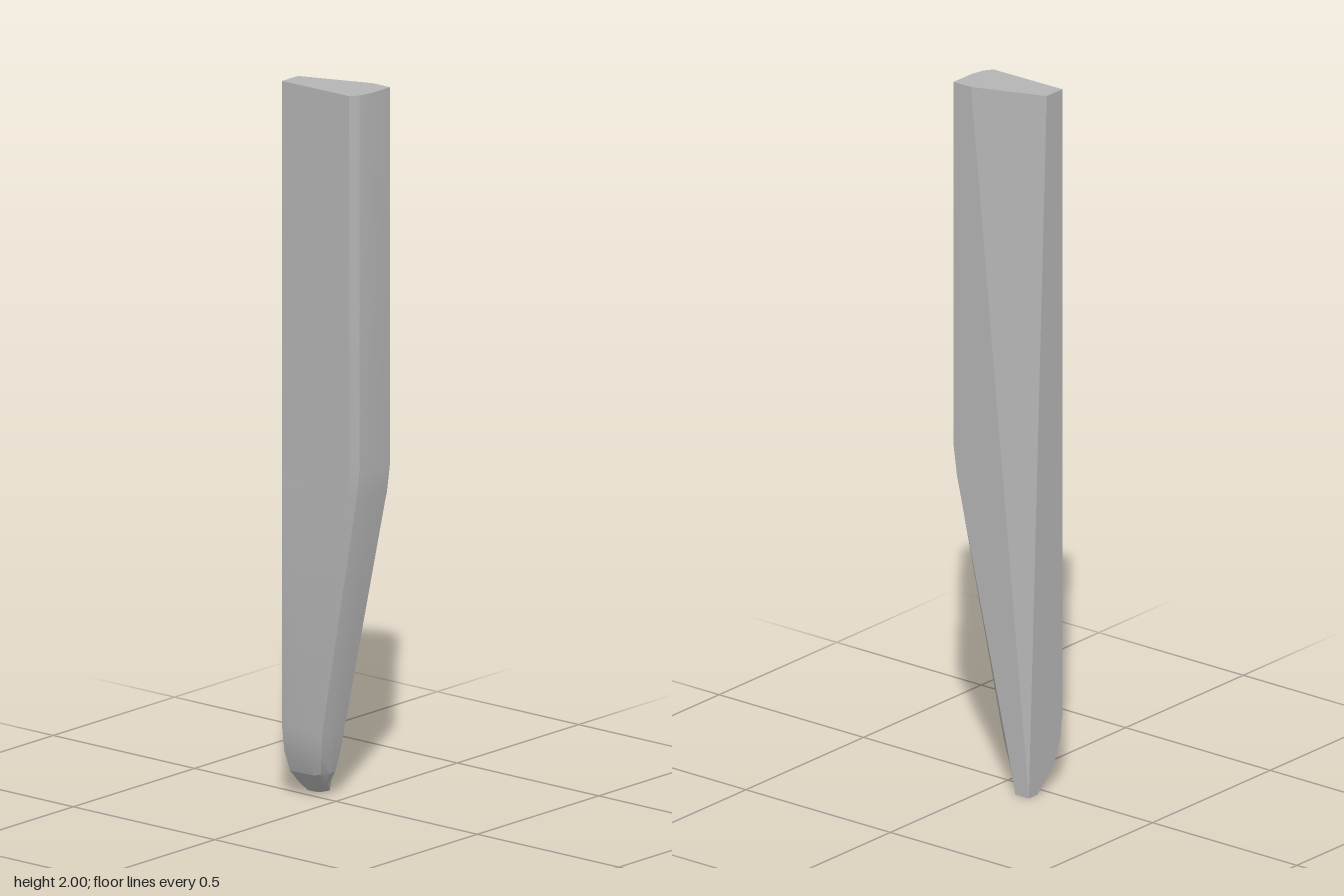
import * as THREE from 'three';
import { toCreasedNormals } from 'three/addons/utils/BufferGeometryUtils.js';

const BACK = -0.13, SIDE = 0.071;

// One level of the post: y, back-left x, then the x,z of the four front corners, then z of the side edge
const levels = [
  [2.00, -0.071, -0.068, 0.105, -0.045, 0.121, -0.005, 0.13, 0.071, 0.13, 0.13],
  [0.95, -0.071, -0.068, 0.105, -0.045, 0.121, -0.005, 0.13, 0.071, 0.13, 0.13],
  [0.87, -0.071, -0.068, 0.094, -0.045, 0.111, -0.005, 0.12, 0.069, 0.12, 0.119],
  [0.20, -0.071, -0.068, -0.027, -0.047, -0.008, -0.012, 0.0, 0.040, -0.003, -0.038],
  [0.13, -0.061, -0.057, -0.036, -0.036, -0.021, 0.0, -0.013, 0.037, -0.016, -0.055],
  [0.07, -0.038, -0.034, -0.052, -0.018, -0.038, 0.008, -0.030, 0.034, -0.032, -0.068],
  [0.03, 0.0, 0.002, -0.075, 0.010, -0.064, 0.022, -0.057, 0.034, -0.058, -0.078],
  [0.00, 0.035, 0.036, -0.105, 0.039, -0.095, 0.043, -0.09, 0.050, -0.088, -0.083],
];

// Cross-section running anticlockwise seen from above; the back corner is cut away towards the top
function section([y, backX, bx, bz, cx, cz, dx, dz, ex, ez, fz]) {
  const t = y / 2;
  return [
    [backX, BACK], [bx, bz], [cx, cz], [dx, dz], [ex, ez], [SIDE, fz],
    [SIDE, BACK + 0.2 * t], [SIDE - 0.076 * t, BACK],
  ].map(([x, z]) => [x, y, z]);
}

function loft(rings) {
  const n = rings[0].length;
  const index = [];
  for (let r = 0; r < rings.length - 1; r++) {
    for (let i = 0; i < n; i++) {
      const j = (i + 1) % n, a = r * n, b = a + n;
      index.push(a + i, b + i, b + j, a + i, b + j, a + j);
    }
  }
  // End caps
  const last = (rings.length - 1) * n;
  for (let i = 1; i < n - 1; i++) {
    index.push(0, i, i + 1, last, last + i + 1, last + i);
  }
  const geometry = new THREE.BufferGeometry();
  geometry.setAttribute('position', new THREE.Float32BufferAttribute(rings.flat(2), 3));
  geometry.setIndex(index);
  return toCreasedNormals(geometry, 0.3);
}

export function createModel() {
  const group = new THREE.Group();
  group.name = 'taperedPost';
  const grey = new THREE.MeshStandardMaterial({ color: 0xb4b4b4 });
  grey.name = 'grey';

  // Tapered post with a rounded tip
  const post = new THREE.Mesh(loft(levels.map(section)), grey);
  post.name = 'post';
  group.add(post);
  return group;
}
